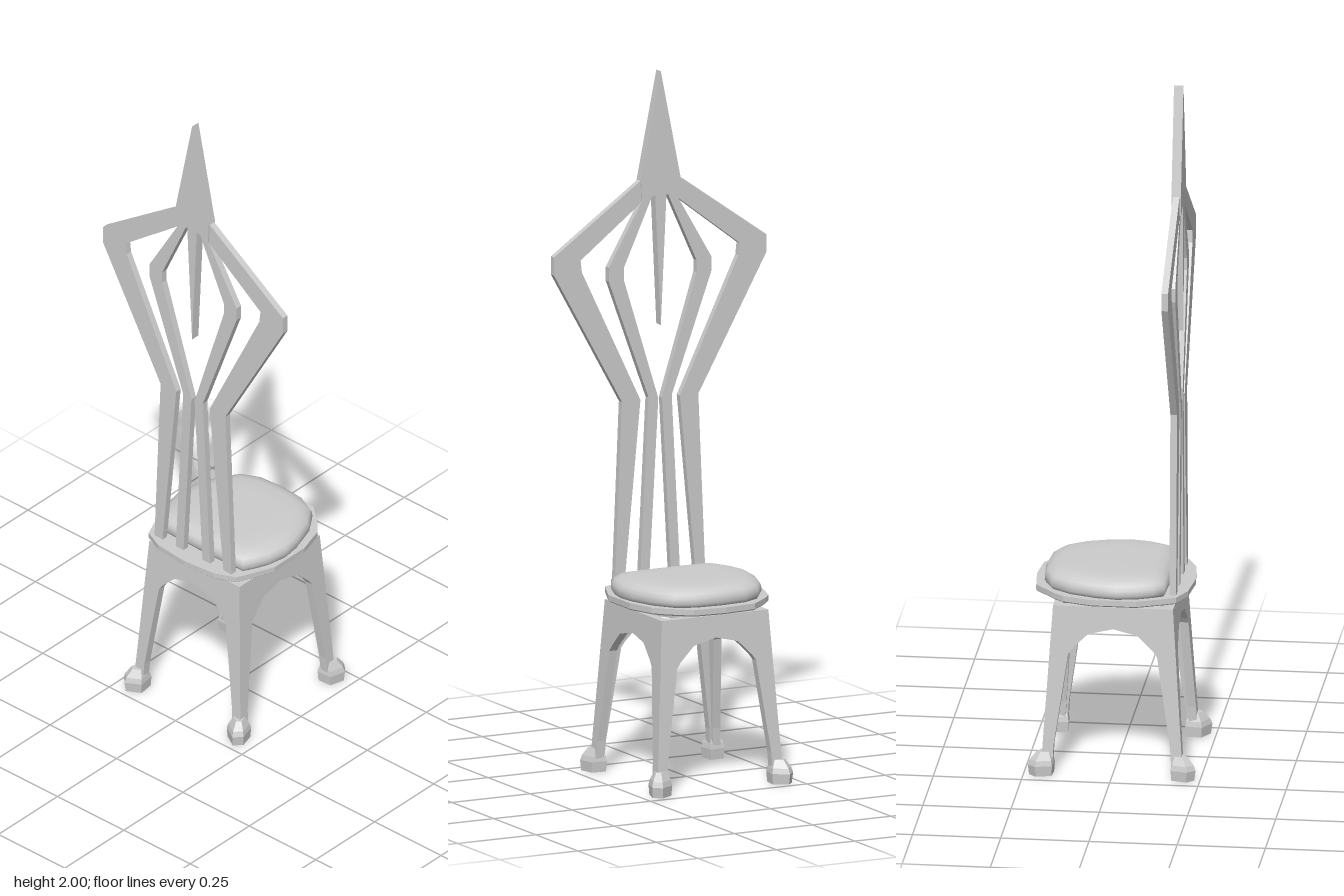
import * as THREE from 'three';

const material = new THREE.MeshStandardMaterial({ color: 0xcccccc });
const flatMaterial = new THREE.MeshStandardMaterial({ color: 0xcccccc, flatShading: true });

function addMesh(parent, name, geometry, mat = flatMaterial) {
  const mesh = new THREE.Mesh(geometry, mat);
  mesh.name = name;
  parent.add(mesh);
  return mesh;
}

// Closed solid through horizontal rings; the outline runs from +z towards +x.
// Each level is [y, scale about the centre].
function loft(outline, levels, cx, cz) {
  const n = outline.length, pos = [], index = [];
  for (const [y, s] of levels)
    for (const [x, z] of outline) pos.push(cx + (x - cx) * s, y, cz + (z - cz) * s);
  const last = levels.length - 1, bottom = n * levels.length, top = bottom + 1;
  pos.push(cx, levels[0][0], cz, cx, levels[last][0], cz);
  for (let i = 0; i < n; i++) {
    const j = (i + 1) % n;
    for (let k = 0; k < last; k++) {
      const a = k * n + i, b = k * n + j;
      index.push(a, b, b + n, a, b + n, a + n);
    }
    index.push(j, i, bottom, last * n + i, last * n + j, top);
  }
  const geometry = new THREE.BufferGeometry();
  geometry.setAttribute('position', new THREE.Float32BufferAttribute(pos, 3));
  geometry.setIndex(index);
  geometry.computeVertexNormals();
  return geometry;
}

// Completes a half outline that starts and ends on x = 0
const mirrorOutline = half =>
  [...half, ...half.slice(1, -1).reverse().map(([x, z]) => [-x, z])];

// Flat board cut from points in x and y, lying between two z values
function board(points, z0, z1) {
  const shape = new THREE.Shape(points.map(([x, y]) => new THREE.Vector2(x, y)));
  return new THREE.ExtrudeGeometry(shape, { depth: z1 - z0, bevelEnabled: false }).translate(0, 0, z0);
}

// Arched side frame: half an apron at each end running down into a leg, mitred at the corners
function sideFrame() {
  const depth = 0.025;
  const outer = y => 0.17 + (0.495 - y) * 0.065;
  const half = [[outer(0.495), 0.495], [outer(0.04), 0.04], [0.168, 0.04], [0.165, 0.09],
    [0.126, 0.355], [0.114, 0.372], [0.07, 0.415]];
  const points = [...half, [0, 0.432], ...half.map(([x, y]) => [-x, y]).reverse()];
  const geometry = board(points, -depth, 0);
  const p = geometry.attributes.position;
  for (let i = 0; i < p.count; i++) {
    const z = outer(p.getY(i)) + p.getZ(i);
    p.setXYZ(i, THREE.MathUtils.clamp(p.getX(i), -z, z), p.getY(i), z);
  }
  geometry.computeVertexNormals();
  return geometry;
}

export function createModel() {
  const chair = new THREE.Group();
  chair.name = 'chair';

  // Seat plate
  const plate = mirrorOutline([[0, 0.215], [0.105, 0.205], [0.165, 0.178], [0.18, 0.145], [0.212, 0.07],
    [0.212, -0.058], [0.187, -0.14], [0.16, -0.172], [0.097, -0.226], [0, -0.235]]);
  addMesh(chair, 'seatPlate', loft(plate, [[0.51, 0.98], [0.514, 1], [0.53, 1]], 0, -0.01));

  // Cushion with a softly rounded edge
  const cushion = mirrorOutline([[0, 0.15], [0.08, 0.15], [0.163, 0.147], [0.18, 0.115], [0.197, 0.075],
    [0.208, 0.015], [0.2, -0.045], [0.175, -0.12], [0.135, -0.178], [0.08, -0.204], [0, -0.21]]);
  addMesh(chair, 'cushion', loft(cushion, [[0.53, 0.97], [0.54, 1], [0.555, 0.995], [0.567, 0.96],
    [0.577, 0.87], [0.583, 0.75], [0.585, 0.5]], 0, -0.03), material);

  // Legs and aprons on four sides
  const base = new THREE.Group();
  base.name = 'legFrame';
  chair.add(base);
  const frame = sideFrame();
  for (let i = 0; i < 4; i++) addMesh(base, 'apronWithLegs', frame).rotation.y = i * Math.PI / 2;

  // Five-sided feet
  const foot = [[0.16, 0.213], [0.203, 0.238], [0.225, 0.215], [0.212, 0.168], [0.166, 0.165]];
  for (const sx of [1, -1]) for (const sz of [1, -1]) {
    const outline = foot.map(([x, z]) => [x * sx, z * sz]);
    if (sx * sz < 0) outline.reverse();
    addMesh(base, 'foot', loft(outline, [[0, 0.92], [0.03, 1], [0.045, 0.88], [0.068, 0.5]],
      sx * 0.187, sz * 0.189));
  }

  // Backrest: pointed spire with a hanging spike, and two bent bars on each side
  const back = new THREE.Group();
  back.name = 'backrest';
  chair.add(back);
  const spire = [[0, 2], [0.063, 1.69], [0.06, 1.632], [0.018, 1.645]];
  addMesh(back, 'spire', board([...spire, [0, 1.27],
    ...spire.slice(1).map(([x, y]) => [-x, y]).reverse()], 0.153, 0.18));
  const bars = {
    outerBar: [[0.05, 1.685], [0.063, 1.69], [0.339, 1.497], [0.339, 1.445], [0.122, 1.06], [0.145, 0.525],
      [0.115, 0.525], [0.063, 1.06], [0.25, 1.445], [0.254, 1.48], [0.05, 1.635]],
    innerBar: [[0.022, 1.65], [0.052, 1.64], [0.164, 1.45], [0.164, 1.41], [0.037, 1.065], [0.065, 0.525],
      [0.036, 0.525], [0.006, 1.06], [0.116, 1.41], [0.116, 1.445]],
  };
  for (const [name, points] of Object.entries(bars)) for (const side of [1, -1])
    addMesh(back, name, board(points.map(([x, y]) => [x * side, y]), 0.157, 0.176));

  return chair;
}
